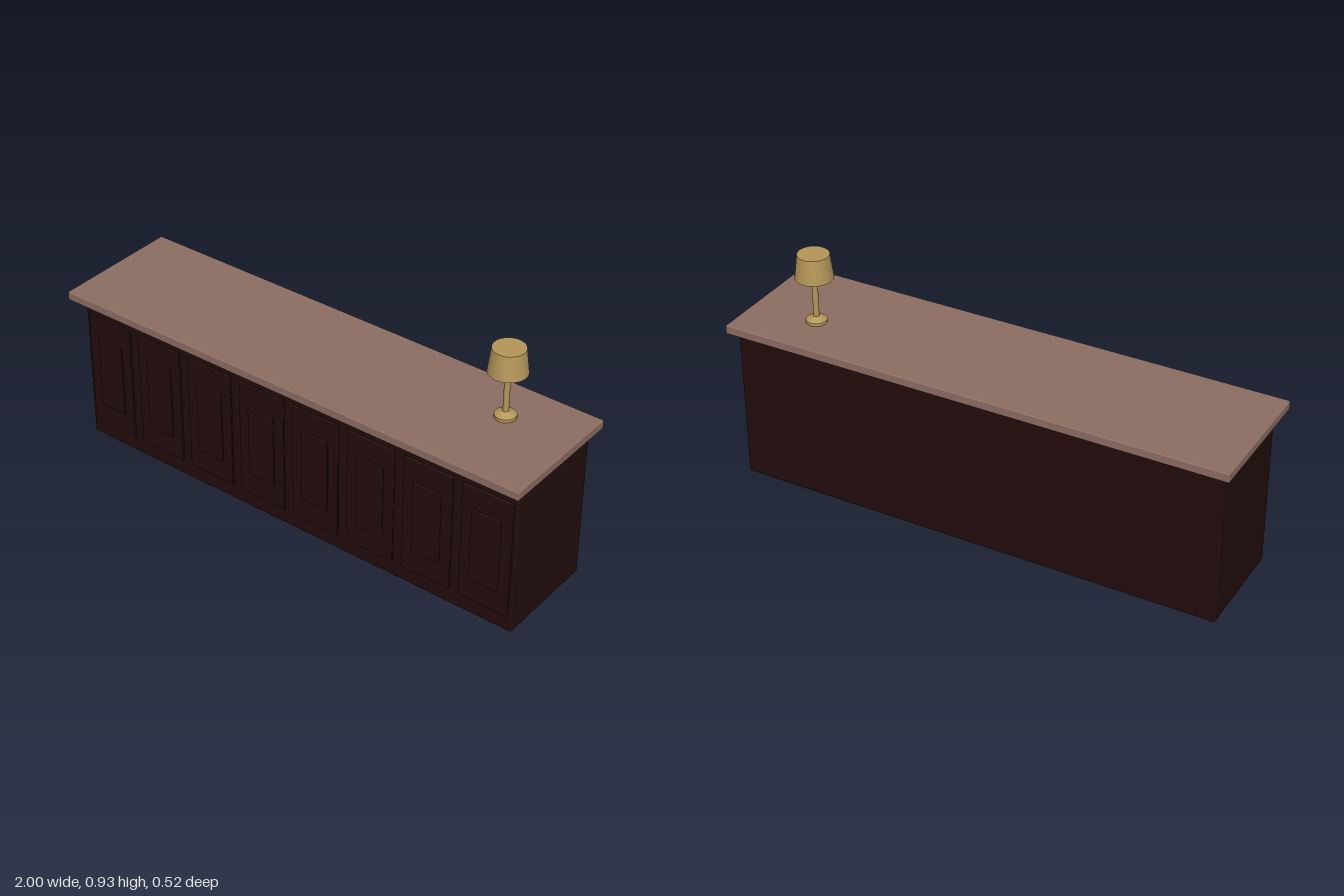
import * as THREE from 'three';
import { RoundedBoxGeometry } from 'three/addons/geometries/RoundedBoxGeometry.js';

export function createModel() {
  const group = new THREE.Group();
  group.name = 'counterWithLamp';

  const darkWood = new THREE.MeshStandardMaterial({ name: 'darkWood', color: 0x230d0d });
  const counterBrown = new THREE.MeshStandardMaterial({ name: 'counterBrown', color: 0x8d6e63 });
  const brass = new THREE.MeshStandardMaterial({ name: 'brass', color: 0xb5975a });

  // Softly rounded box given by its minimum and maximum corners
  function addBox(name, material, min, max, radius) {
    const size = max.map((v, i) => v - min[i]);
    const mesh = new THREE.Mesh(new RoundedBoxGeometry(...size, 2, radius), material);
    mesh.position.set(...min.map((v, i) => (v + max[i]) / 2));
    mesh.name = name;
    group.add(mesh);
  }

  // Cabinet body and the top, held just clear of it
  addBox('cabinetBody', darkWood, [-0.968, 0, -0.223], [0.968, 0.607, 0.2], 0.006);
  addBox('counterTop', counterBrown, [-1, 0.614, -0.26], [1, 0.649, 0.26], 0.004);

  // Eight raised front panels, each with a smaller raised field
  const panelCount = 8, pitch = 0.243;
  for (let i = 0; i < panelCount; i++) {
    const x = (i - (panelCount - 1) / 2) * pitch;
    addBox('frontPanel' + (i + 1), darkWood, [x - 0.102, 0.064, 0.19], [x + 0.102, 0.546, 0.207], 0.003);
    addBox('panelField' + (i + 1), darkWood, [x - 0.059, 0.155, 0.195], [x + 0.059, 0.456, 0.212], 0.003);
  }

  // Table lamp, built upwards from the counter top
  const lamp = new THREE.Group();
  lamp.name = 'tableLamp';
  lamp.position.set(0.725, 0.648, -0.072);
  group.add(lamp);
  function addRound(name, topRadius, bottomRadius, y0, y1) {
    const mesh = new THREE.Mesh(new THREE.CylinderGeometry(topRadius, bottomRadius, y1 - y0, 32), brass);
    mesh.position.y = (y0 + y1) / 2;
    mesh.name = name;
    lamp.add(mesh);
  }
  addRound('lampFoot', 0.04, 0.04, 0, 0.013);
  addRound('lampFootTaper', 0.012, 0.04, 0.013, 0.026);
  addRound('lampPole', 0.011, 0.011, 0.02, 0.19);
  addRound('lampShade', 0.06, 0.072, 0.185, 0.28);

  return group;
}
